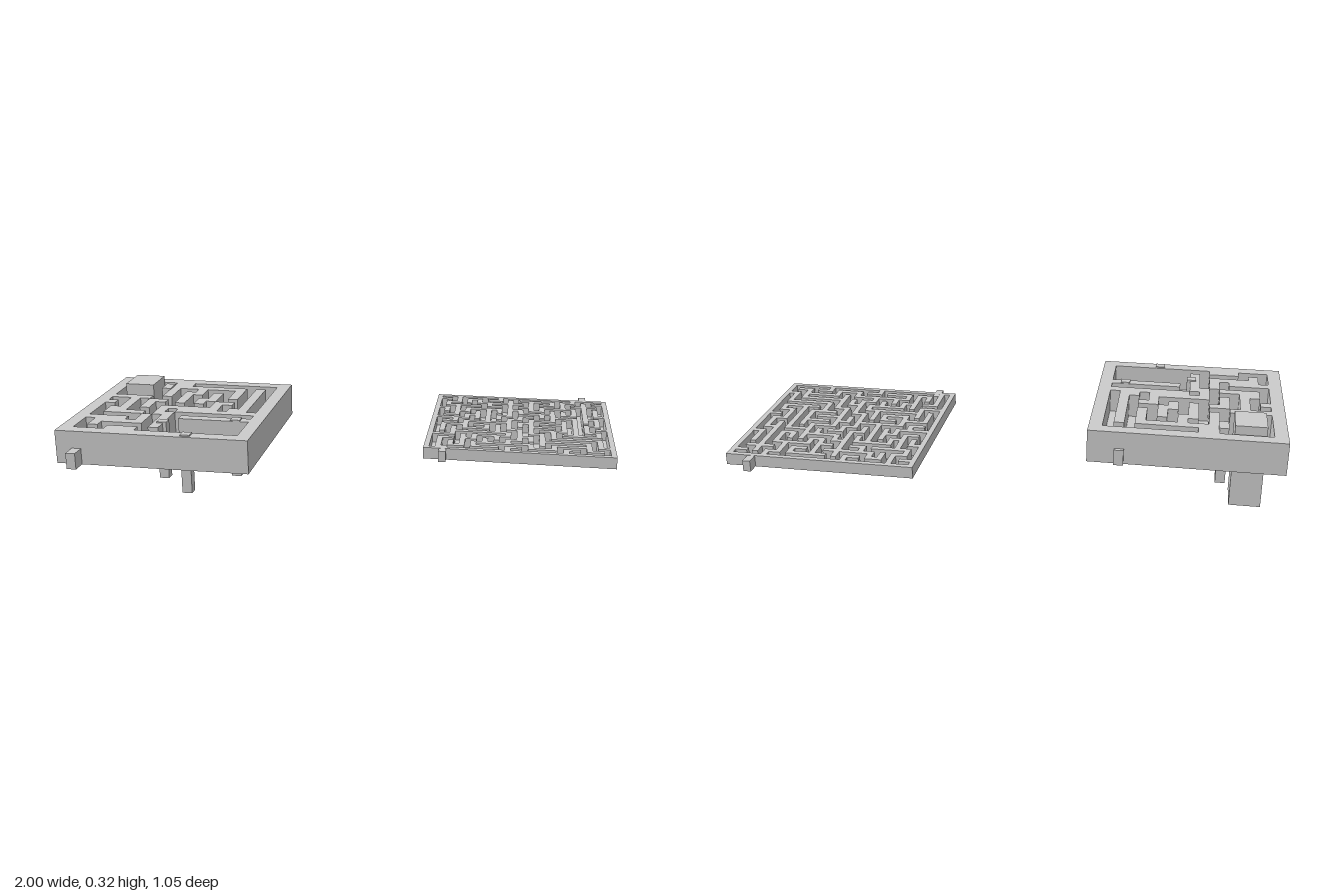
import * as THREE from 'three';

const material = new THREE.MeshStandardMaterial({ color: 0xcccccc, flatShading: true, side: THREE.DoubleSide });

// '.' is a carved channel, '#' is the raised top
const LARGE_MAZE = [
  '.....##.........',
  '.....########.#.',
  '.....#..#...#.#.',
  '.....#.##.#.#.#.',
  '.....#.#..#.#.#.',
  '####...#.##...#.',
  '..#.##.#.#.##.#.',
  '#.#.#......#..#.',
  '..#.#.######.##.',
  '.##...#.......#.',
  '.####.#.########',
  '.....#..........',
  '####.#.#........',
  '.#####.#........',
  '.#.....#........',
  '...###..........',
];
// tongue of wall between the long channel and the open pit
LARGE_MAZE[10] = '.####.##.........'.slice(0, 16);
LARGE_MAZE[9] = '.##...#.########';
LARGE_MAZE[11] = '.....#.#.#######';

// Seeded maze with n x n cells, walls and channels equally wide
function growMaze(n, seed) {
  const size = 2 * n - 1;
  const grid = Array.from({ length: size }, () => Array(size).fill('#'));
  const random = () => (seed = (seed * 16807) % 2147483647) / 2147483647;
  const stack = [[0, 0]];
  grid[0][0] = '.';
  while (stack.length) {
    const [r, c] = stack[stack.length - 1];
    const open = [[0, 2], [0, -2], [2, 0], [-2, 0]]
      .filter(([dr, dc]) => grid[r + dr]?.[c + dc] === '#');
    if (!open.length) { stack.pop(); continue; }
    const [dr, dc] = open[Math.floor(random() * open.length)];
    grid[r + dr / 2][c + dc / 2] = '.';
    grid[r + dr][c + dc] = '.';
    stack.push([r + dr, c + dc]);
  }
  return grid.map((row) => row.join(''));
}

// Edge positions of the bands along one axis, with a rim at each end
function bands(min, max, rim, count) {
  const edges = [min];
  for (let i = 0; i <= count; i++) edges.push(min + rim + ((max - min - 2 * rim) * i) / count);
  edges.push(max);
  return edges;
}

// Plate whose top is carved by a maze; the underside may stay open
function carvedPlate(rows, [x0, x1, z0, z1], rim, yBottom, yFloor, yTop, closed) {
  const n = rows.length;
  const xs = bands(x0, x1, rim, n), zs = bands(z0, z1, rim, n);
  const height = (r, c) => {
    if (r < 0 || c < 0 || r > n + 1 || c > n + 1) return yBottom;
    return rows[r - 1]?.[c - 1] === '.' ? yFloor : yTop;
  };
  const points = [];
  const quad = (a, b, c, d) => points.push(...a, ...b, ...c, ...a, ...c, ...d);
  for (let r = 0; r <= n + 2; r++) {
    for (let c = 0; c <= n + 2; c++) {
      const h = height(r, c), hl = height(r, c - 1), hb = height(r - 1, c);
      const xa = xs[c], xb = xs[c + 1], za = zs[r], zb = zs[r + 1];
      const inX = c <= n + 1, inZ = r <= n + 1;
      if (inX && inZ) quad([xa, h, za], [xa, h, zb], [xb, h, zb], [xb, h, za]);
      if (inZ && h !== hl) quad([xa, h, za], [xa, hl, za], [xa, hl, zb], [xa, h, zb]);
      if (inX && h !== hb) quad([xa, h, za], [xb, h, za], [xb, hb, za], [xa, hb, za]);
    }
  }
  if (closed) quad([x0, yBottom, z0], [x1, yBottom, z0], [x1, yBottom, z1], [x0, yBottom, z1]);
  const geometry = new THREE.BufferGeometry();
  geometry.setAttribute('position', new THREE.Float32BufferAttribute(points, 3));
  geometry.computeVertexNormals();
  return geometry;
}

function add(group, name, geometry) {
  const mesh = new THREE.Mesh(geometry, material);
  mesh.name = name;
  group.add(mesh);
}

// Box given by its limits
function addBox(group, name, xa, xb, ya, yb, za, zb) {
  const geometry = new THREE.BoxGeometry(xb - xa, yb - ya, zb - za);
  geometry.translate((xa + xb) / 2, (ya + yb) / 2, (za + zb) / 2);
  add(group, name, geometry);
}

export function createModel() {
  const model = new THREE.Group();
  model.name = 'mazePair';

  // Deep maze: open-bottomed shell with hanging channels
  const deep = new THREE.Group();
  deep.name = 'deepMaze';
  add(deep, 'deepMazeShell', carvedPlate(LARGE_MAZE, [-1, -0.285, -0.245, 0.47], 0.05, 0.165, 0.2, 0.29, false));
  addBox(deep, 'pillar', -0.925, -0.81, 0, 0.32, -0.185, -0.05);
  addBox(deep, 'frontTab', -0.94, -0.905, 0.165, 0.225, 0.41, 0.525);
  addBox(deep, 'backTab', -0.42, -0.385, 0.165, 0.225, -0.26, -0.2);

  // Pegs: centre x, z range
  const pegs = [[-0.773, -0.16, -0.095], [-0.647, 0.295, 0.33], [-0.517, 0.425, 0.46], [-0.387, 0.23, 0.265]];
  for (const [x, za, zb] of pegs) addBox(deep, 'peg', x - 0.018, x + 0.018, 0.075, 0.295, za, zb);

  // Flat maze: closed plate with fine walls
  const flat = new THREE.Group();
  flat.name = 'flatMaze';
  add(flat, 'flatMazePlate', carvedPlate(growMaze(16, 4217), [0.305, 1, -0.485, 0.205], 0.02, 0.165, 0.172, 0.208, true));
  addBox(flat, 'frontTab', 0.363, 0.39, 0.166, 0.207, 0.165, 0.235);
  addBox(flat, 'backTab', 0.89, 0.918, 0.166, 0.207, -0.53, -0.465);

  model.add(deep, flat);
  return model;
}
